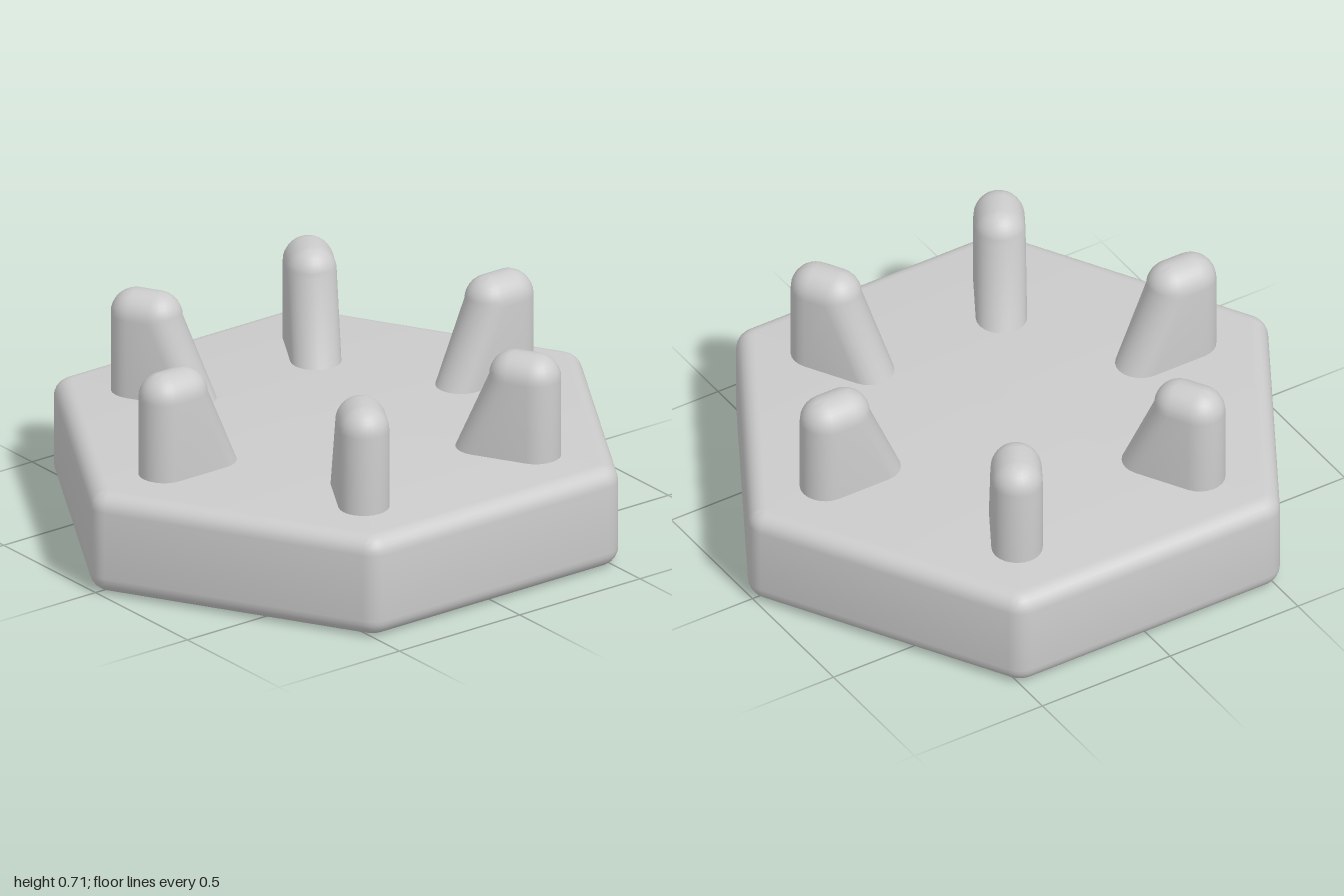
import * as THREE from 'three';
import { toCreasedNormals } from 'three/addons/utils/BufferGeometryUtils.js';

const TOP = 0.355;
const material = new THREE.MeshStandardMaterial({ color: 0xcccccc });

// Skins a stack of equal-length rings of Vector3 (listed bottom to top, turning x to z)
function loft(rings, crease = 0.6) {
  const pos = [];
  const tri = (a, b, c) => {
    if (new THREE.Triangle(a, b, c).getArea() > 1e-9) pos.push(...a, ...b, ...c);
  };
  for (let i = 0; i < rings.length - 1; i++) {
    const lo = rings[i], hi = rings[i + 1], n = lo.length;
    for (let j = 0; j < n; j++) {
      const k = (j + 1) % n;
      tri(lo[j], hi[j], lo[k]);
      tri(hi[j], hi[k], lo[k]);
    }
  }
  const g = new THREE.BufferGeometry();
  g.setAttribute('position', new THREE.Float32BufferAttribute(pos, 3));
  return toCreasedNormals(g, crease);
}

// Ring shrunk to its middle, used to close a loft
function collapse(ring) {
  const c = new THREE.Vector3();
  ring.forEach((p) => c.add(p));
  c.divideScalar(ring.length);
  return ring.map(() => c);
}

function part(name, geometry) {
  const mesh = new THREE.Mesh(geometry, material);
  mesh.name = name;
  return mesh;
}

// Hexagon with rounded corners of the given radius
function hexRing(radius, y) {
  const ring = [], reach = 0.8 / Math.cos(Math.PI / 6);
  for (let k = 0; k < 6; k++) {
    const mid = (k * Math.PI) / 3;
    for (let s = 0; s <= 6; s++) {
      const a = mid - Math.PI / 6 + (s / 6) * (Math.PI / 3);
      ring.push(new THREE.Vector3(
        reach * Math.cos(mid) + radius * Math.cos(a), y,
        reach * Math.sin(mid) + radius * Math.sin(a)));
    }
  }
  return ring;
}

// Stadium outline along x between two end centres
function stadiumRing(x0, x1, radius, y) {
  const ring = [];
  for (const [x, start] of [[x1, -Math.PI / 2], [x0, Math.PI / 2]]) {
    for (let s = 0; s <= 12; s++) {
      const a = start + (s / 12) * Math.PI;
      ring.push(new THREE.Vector3(x + radius * Math.cos(a), y, radius * Math.sin(a)));
    }
  }
  return ring;
}

// Peg: upright outside, sloping inside, domed top
function pegGeometry() {
  const r = 0.085, yDome = 0.63;
  const rings = [stadiumRing(0.515, 0.715, r, TOP - 0.01), stadiumRing(0.64, 0.715, r, yDome)];
  for (let s = 1; s <= 8; s++) {
    const a = (s / 8) * (Math.PI / 2);
    rings.push(stadiumRing(0.64, 0.715, r * Math.cos(a), yDome + r * Math.sin(a)));
  }
  return loft(rings);
}

// Underside pocket: straight at the roof, flaring outward at the mouth
const roof = [[0.41, -0.1], [0.83, -0.1], [0.83, 0], [0.83, 0.1], [0.41, 0.1]];
const mouth = [[0.4, -0.105], [0.83, -0.18], [0.92, 0], [0.83, 0.18], [0.4, 0.105]];

function pocketGeometry() {
  const ring = (t, y) => roof.map(([x, z], i) => new THREE.Vector3(
    x + (mouth[i][0] - x) * t, y, z + (mouth[i][1] - z) * t));
  const first = ring(0, 0.18);
  const rings = [collapse(first), first];
  for (let s = 0; s <= 6; s++) {
    const a = (s / 6) * (Math.PI / 2);
    rings.push(ring(1 - Math.cos(a), 0.09 * (1 - Math.sin(a))));
  }
  return loft(rings);
}

export function createModel() {
  const model = new THREE.Group();
  model.name = 'hexagonalPegBlock';

  // Block wall with rounded bottom and top rims, closed on top
  const fillet = 0.06, rings = [];
  for (let s = 0; s <= 6; s++) {
    const a = (s / 6) * (Math.PI / 2);
    rings.push(hexRing(0.02 + fillet * Math.sin(a), fillet * (1 - Math.cos(a))));
  }
  for (let s = 0; s <= 6; s++) {
    const a = (s / 6) * (Math.PI / 2);
    rings.push(hexRing(0.02 + fillet * Math.cos(a), TOP - fillet * (1 - Math.sin(a))));
  }
  rings.push(collapse(rings[rings.length - 1]));
  model.add(part('block', loft(rings)));

  // Underside with the six pocket mouths cut out
  const flat = (ring) => ring.map((p) => new THREE.Vector2(p.x, p.z));
  const base = new THREE.Shape(flat(hexRing(0.02, 0)));
  const peg = pegGeometry(), pocket = pocketGeometry();
  for (let k = 0; k < 6; k++) {
    const angle = (k * Math.PI) / 3;
    const hole = mouth.map(([x, z]) =>
      new THREE.Vector2(x, z).rotateAround(new THREE.Vector2(), angle));
    base.holes.push(new THREE.Path(hole));

    const station = new THREE.Group();
    station.name = 'station' + (k + 1);
    station.rotation.y = -angle;
    station.add(part('peg', peg), part('pocket', pocket));
    model.add(station);
  }
  model.add(part('underside', new THREE.ShapeGeometry(base).rotateX(Math.PI / 2)));

  return model;
}
